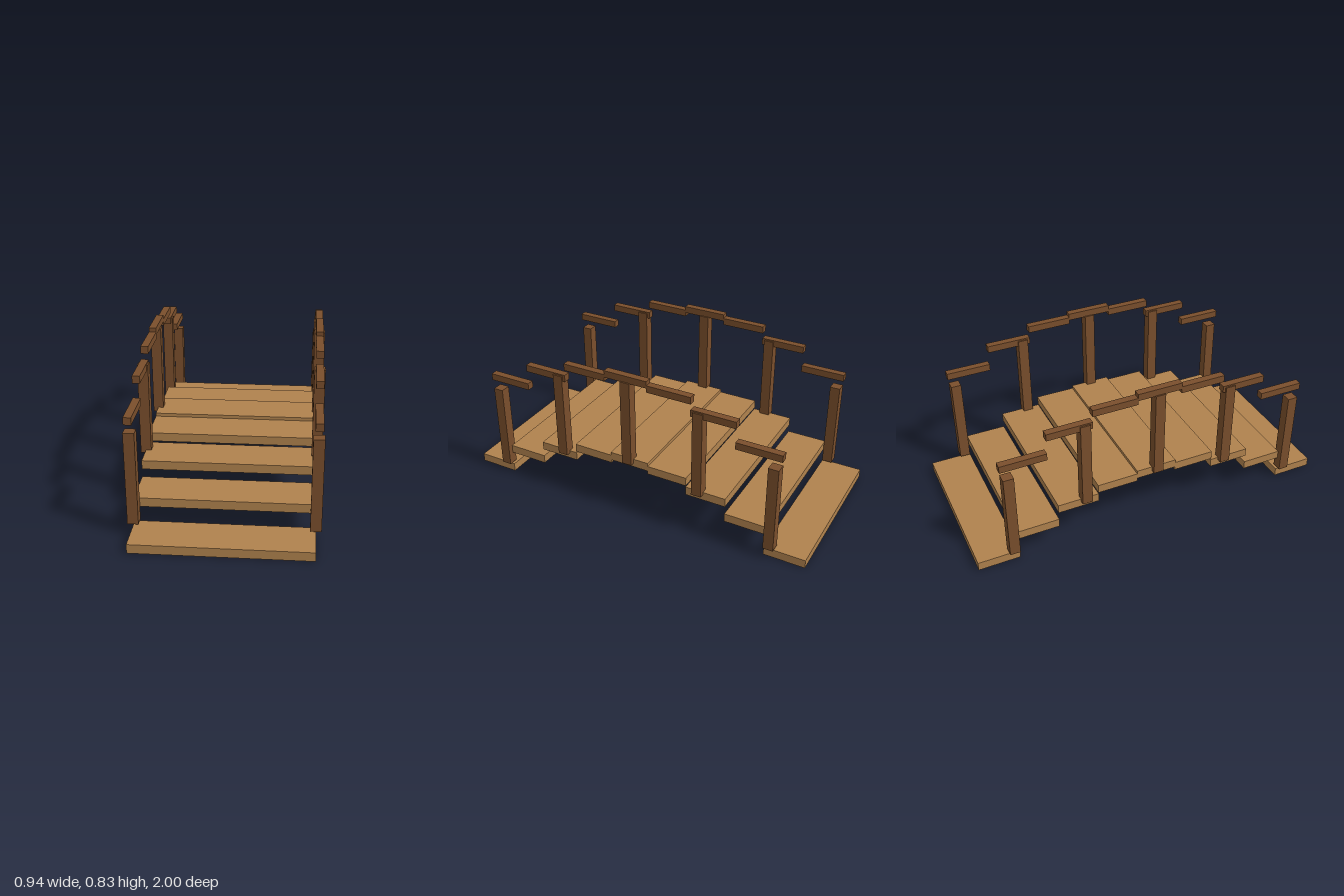
import * as THREE from 'three';

export function createModel() {
  const bridge = new THREE.Group();
  bridge.name = 'archedFootbridge';

  const plankWood = new THREE.MeshStandardMaterial({ color: 0xb0824e });
  plankWood.name = 'light plank wood';
  const railWood = new THREE.MeshStandardMaterial({ color: 0x7a4f2c });
  railWood.name = 'dark rail wood';

  // Box placed by its bottom centre
  function addBox(name, material, size, x, bottom, z) {
    const mesh = new THREE.Mesh(new THREE.BoxGeometry(...size), material);
    mesh.name = name;
    mesh.position.set(x, bottom + size[1] / 2, z);
    bridge.add(mesh);
  }

  // Level deck planks stepping along a parabolic arch
  for (let i = -4; i <= 4; i++) {
    addBox('deckPlank', plankWood, [0.888, 0.047, 0.2235], 0, 0.29 * (1 - (i / 4) ** 2), i * 0.222);
  }

  for (const side of [-1, 1]) {
    const x = side * 0.443;
    const sideName = side > 0 ? 'left' : 'right';

    // Upright posts follow the arch
    for (let i = -2; i <= 2; i++) {
      addBox(sideName + 'Post', railWood, [0.055, 0.484, 0.055], x, 0.313 - 0.253 * (i / 2) ** 2, i * 0.404);
    }

    // Stepped handrail segments
    for (let i = -3; i <= 3; i++) {
      addBox(sideName + 'Handrail', railWood, [0.039, 0.038, 0.243], x, 0.794 - 0.203 * (i / 3) ** 2, i * 0.242);
    }
  }

  return bridge;
}
